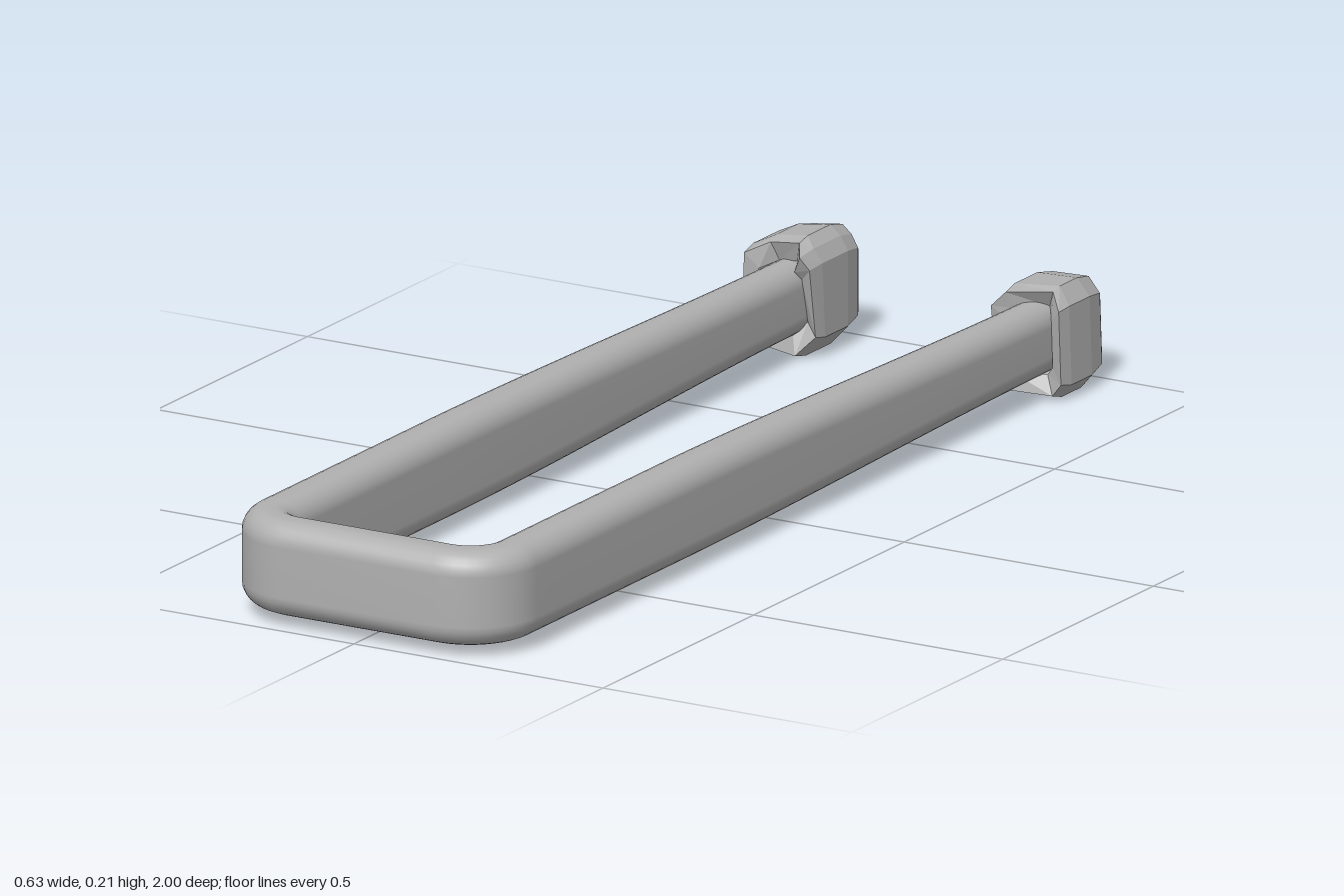
import * as THREE from 'three';

// Skin a list of equal-sized closed rings of [x, y, z] points
function loft(rings, flat) {
  const n = rings[0].length, index = [];
  for (let i = 0; i < rings.length - 1; i++) {
    for (let j = 0; j < n; j++) {
      const k = (j + 1) % n, a = i * n, b = a + n;
      index.push(a + j, b + j, a + k, a + k, b + j, b + k);
    }
  }
  let g = new THREE.BufferGeometry();
  g.setAttribute('position', new THREE.Float32BufferAttribute(rings.flat(2), 3));
  g.setIndex(index);
  if (flat) g = g.toNonIndexed();
  g.computeVertexNormals();
  return g;
}

// Rounded rectangle outline, given half sizes
function roundedRect(hw, hh, r) {
  const pts = [], seg = 6;
  for (let c = 0; c < 4; c++) {
    const sx = c === 0 || c === 3 ? 1 : -1, sy = c < 2 ? 1 : -1;
    for (let i = 0; i <= seg; i++) {
      const a = (c + i / seg) * Math.PI / 2;
      pts.push([sx * (hw - r) + r * Math.cos(a), sy * (hh - r) + r * Math.sin(a)]);
    }
  }
  return pts;
}

// U-shaped hollow bar whose arms taper toward the open back
function barGeometry() {
  const X = 0.237, Z = 0.949, R = 0.085, half = [];
  for (let i = 0; i <= 24; i++) {
    half.push({ x: -X, z: -1 + (Z - R + 1) * i / 24, a: 0 });
  }
  for (let i = 1; i <= 10; i++) {
    const a = i / 10 * Math.PI / 2;
    half.push({ x: -X + R - R * Math.cos(a), z: Z - R + R * Math.sin(a), a });
  }
  const other = half.slice().reverse().map(p => ({ x: -p.x, z: p.z, a: Math.PI - p.a }));
  const rings = [...half, ...other].map(p => {
    const t = THREE.MathUtils.smoothstep(-p.z, -0.35, 0.95);
    const hw = 0.048 - 0.007 * t, hh = 0.085 - 0.019 * t;
    const shift = 0.006 * t; // keeps the outer side straight
    return roundedRect(hw, hh, 0.04).map(([s, u]) => [
      p.x - Math.cos(p.a) * (s + shift), 0.105 + u, p.z + Math.sin(p.a) * (s + shift),
    ]);
  });
  return loft(rings, false);
}

// Faceted cuff: depth and scale of each ring, with an uneven front edge
function cuffGeometry(cx, outline, front, jag) {
  const rings = [
    [front - 0.012, 0.6, 1], [front, 0.93, 1], [front - 0.04, 1, 0.5],
    [-0.93, 1, 0], [-0.975, 0.9, 0], [-0.987, 0.8, 0], [-0.987, 0.58, 0],
  ].map(([z, f, j]) => outline.map(([x, y], i) => [
    cx + (x - cx) * f, 0.105 + (y - 0.105) * f, z - j * jag[i],
  ]));
  return loft(rings, true);
}

export function createModel() {
  const group = new THREE.Group();
  const grey = new THREE.MeshStandardMaterial({ color: 0xb0b0b0, side: THREE.DoubleSide });
  grey.name = 'plainGrey';

  const add = (name, geometry) => {
    const mesh = new THREE.Mesh(geometry, grey);
    mesh.name = name;
    group.add(mesh);
  };

  add('taperedBar', barGeometry());

  // Slightly different irregular cuffs on the two arm ends
  add('rightCuff', cuffGeometry(-0.243, [
    [-0.175, 0.04], [-0.175, 0.175], [-0.19, 0.2], [-0.21, 0.217], [-0.275, 0.208],
    [-0.313, 0.19], [-0.317, 0.05], [-0.29, 0.008], [-0.21, 0.003],
  ], -0.8, [0.03, 0.01, 0, 0.03, 0.035, 0.005, 0.005, 0.03, 0.015]));

  add('leftCuff', cuffGeometry(0.243, [
    [0.178, 0.05], [0.18, 0.17], [0.205, 0.197], [0.285, 0.2],
    [0.31, 0.17], [0.315, 0.03], [0.293, 0.004], [0.2, 0.012],
  ], -0.81, [0.02, 0, 0.01, 0.045, 0.025, 0.025, 0.03, 0]));

  return group;
}
